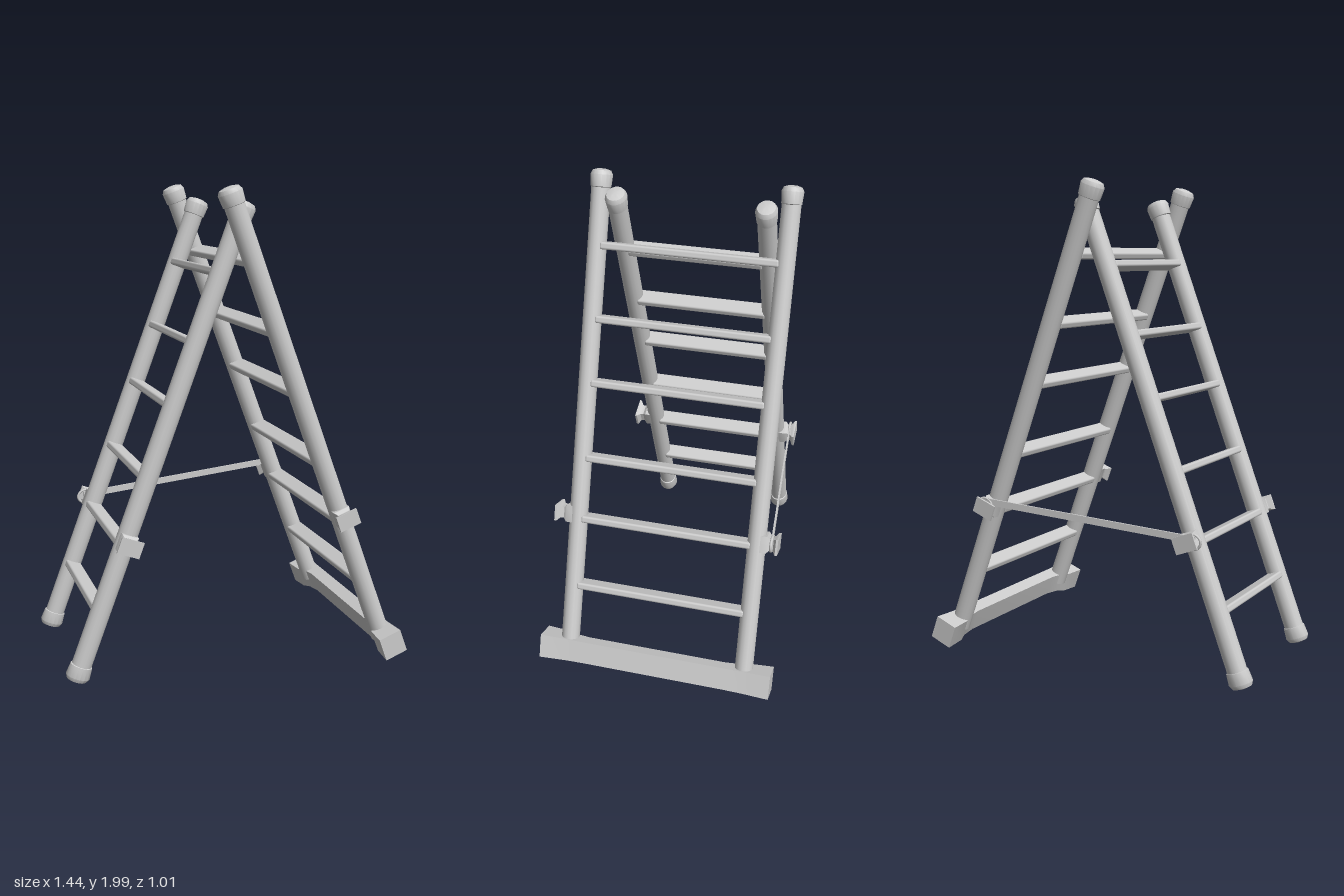
import * as THREE from 'three';
import { RoundedBoxGeometry } from 'three/addons/geometries/RoundedBoxGeometry.js';
import { toCreasedNormals } from 'three/addons/utils/BufferGeometryUtils.js';

const material = new THREE.MeshStandardMaterial({ color: 0xcccccc });

function add(parent, name, geometry, x = 0, y = 0, z = 0) {
  const mesh = new THREE.Mesh(geometry, material);
  mesh.name = name;
  mesh.position.set(x, y, z);
  parent.add(mesh);
  return mesh;
}

// Solid through rectangular sections [z, x0, x1, y0, y1], z increasing
function loft(sections) {
  const pos = [], index = [];
  for (const [z, x0, x1, y0, y1] of sections) {
    pos.push(x0, y0, z, x1, y0, z, x1, y1, z, x0, y1, z);
  }
  const quad = (a, b, c, d) => index.push(a, b, c, a, c, d);
  for (let s = 0; s < sections.length - 1; s++) {
    for (let i = 0; i < 4; i++) {
      const j = (i + 1) % 4, k = s * 4;
      quad(k + i, k + j, k + 4 + j, k + 4 + i);
    }
  }
  const e = (sections.length - 1) * 4;
  quad(3, 2, 1, 0);
  quad(e, e + 1, e + 2, e + 3);
  const geometry = new THREE.BufferGeometry();
  geometry.setAttribute('position', new THREE.Float32BufferAttribute(pos, 3));
  geometry.setIndex(index);
  return toCreasedNormals(geometry, 0.7);
}

// Rounded rubber cap whose closed end points up
function capGeometry() {
  const profile = [[0.04, -0.04], [0.047, -0.036], [0.051, 0.012], [0.042, 0.028], [0.02, 0.034], [0, 0.035]];
  const geometry = new THREE.LatheGeometry(profile.map(([r, y]) => new THREE.Vector2(r, y)), 16);
  geometry.scale(1, 1, 0.87);
  return toCreasedNormals(geometry, 0.6);
}

// One leaning ladder; its own y runs along the rails
function ladder({ name, foot, top, railZ, rungHeights, cleatHeight, footCaps }) {
  const group = new THREE.Group();
  group.name = name;
  const dx = top[0] - foot[0], dy = top[1] - foot[1];
  const length = Math.hypot(dx, dy);
  group.position.set(foot[0], foot[1], 0);
  group.rotation.z = -Math.atan2(dx, dy);
  const along = (y) => (y - foot[1]) * length / dy;

  for (const side of [1, -1]) {
    const rail = add(group, 'rail', new THREE.CylinderGeometry(0.042, 0.042, length, 16), 0, length / 2, side * railZ);
    rail.scale.z = 0.92;
    add(group, 'topCap', capGeometry(), 0, length - 0.005, side * railZ);
    if (footCaps) add(group, 'footCap', capGeometry(), 0, 0.005, side * railZ).rotation.x = Math.PI;

    // Flared cleat on the outside of each rail
    const cleat = add(group, 'cleat', loft([
      [0, -0.036, 0.036, -0.036, 0.036],
      [0.045, -0.036, 0.036, -0.036, 0.036],
      [0.058, -0.026, 0.026, -0.024, 0.024],
      [0.072, -0.028, 0.028, -0.024, 0.024],
      [0.084, -0.048, 0.048, -0.034, 0.034],
      [0.093, -0.048, 0.048, -0.034, 0.034],
    ]), 0, along(cleatHeight), side * railZ);
    if (side < 0) cleat.rotation.y = Math.PI;
  }

  // Flat treads square to the rails
  for (const y of rungHeights) {
    add(group, 'rung', new RoundedBoxGeometry(0.072, 0.03, railZ * 2 - 0.04, 2, 0.009), 0, along(y), 0);
  }
  return group;
}

export function createModel() {
  const model = new THREE.Group();
  model.name = 'stepLadder';

  const wide = ladder({
    name: 'wideLadder', foot: [0.65, 0.072], top: [-0.053, 1.965], railZ: 0.385,
    rungHeights: [0.35, 0.63, 0.88, 1.18, 1.43, 1.71], cleatHeight: 0.645, footCaps: false,
  });
  const narrow = ladder({
    name: 'narrowLadder', foot: [-0.675, 0.047], top: [0.028, 1.91], railZ: 0.301,
    rungHeights: [0.31, 0.58, 0.85, 1.135, 1.385, 1.66], cleatHeight: 0.595, footCaps: true,
  });
  model.add(wide, narrow);

  // Stabiliser beam with flared ends across the foot of the wide ladder
  const half = [
    [0.3, -0.014, 0.046, -0.046, 0.05],
    [0.37, -0.024, 0.046, -0.047, 0.05],
    [0.41, -0.042, 0.047, -0.048, 0.051],
    [0.505, -0.05, 0.052, -0.05, 0.053],
  ];
  const mirrored = half.map(([z, ...rest]) => [-z, ...rest]).reverse();
  add(wide, 'stabiliserBeam', loft([...mirrored, ...half]));

  // Spreader strap on the back side, looped around the two cleats
  const a = new THREE.Vector3(-0.5, 0.608, -0.362), b = new THREE.Vector3(0.46, 0.673, -0.452);
  const strap = add(model, 'spreaderStrap', new THREE.BoxGeometry(0.008, 0.028, a.distanceTo(b)));
  strap.position.copy(a).add(b).multiplyScalar(0.5);
  strap.lookAt(b);
  for (const [x, y, z] of [[-0.49, 0.6, -0.364], [0.45, 0.655, -0.45]]) {
    const loop = add(model, 'strapLoop', new THREE.TorusGeometry(0.036, 0.006, 8, 20), x, y, z);
    loop.scale.y = 0.85;
  }
  return model;
}
